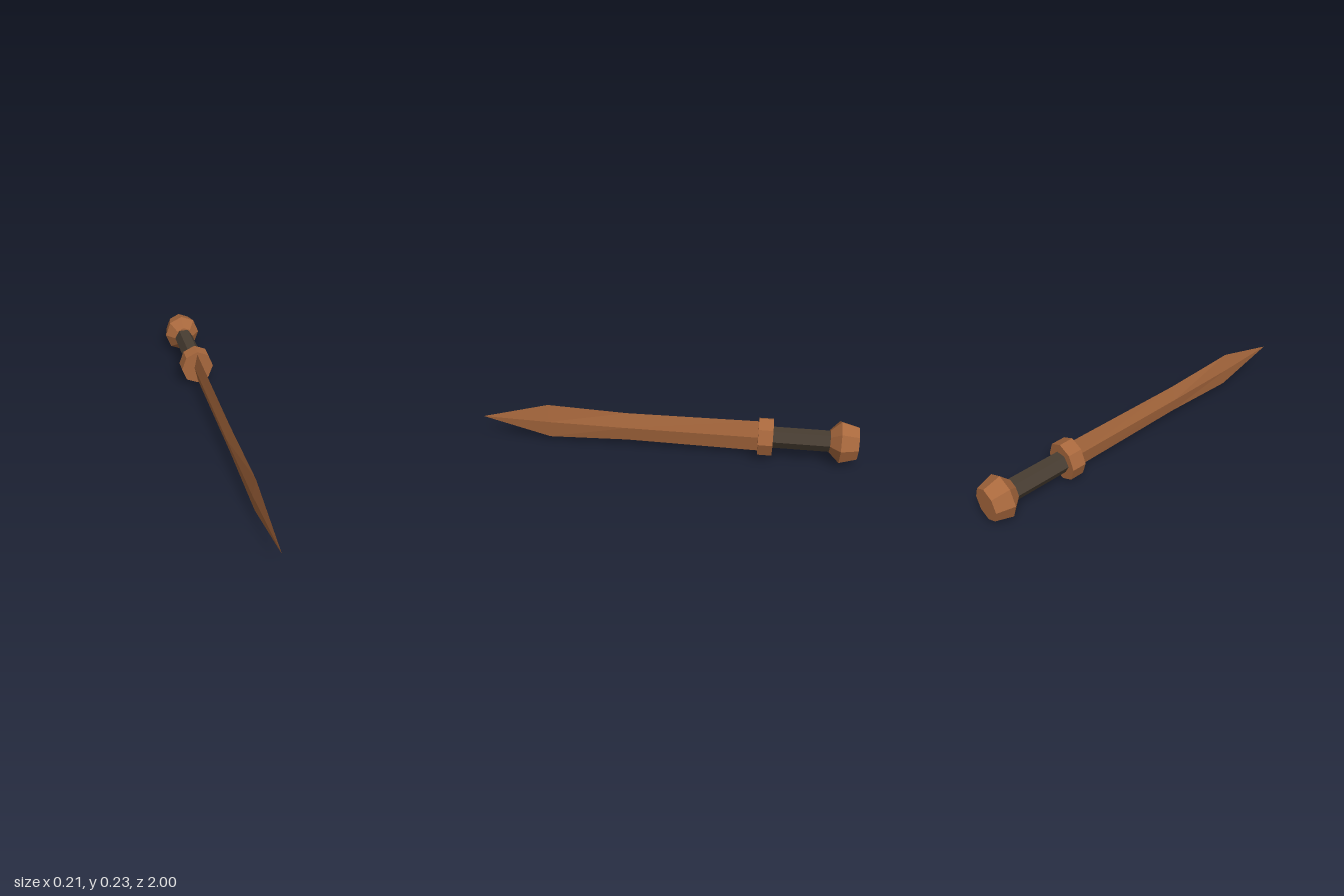
import * as THREE from 'three';

const AXIS_Y = 0.118; // height of the long axis

// Faceted solid along z from [radius, z] stations, running back to front.
function turned(stations, sides, widthScale = 1, start = 0) {
  const points = stations.map(([r, z]) => new THREE.Vector2(r, z));
  return new THREE.LatheGeometry(points, sides, start)
    .rotateX(Math.PI / 2)
    .scale(widthScale, 1, 1);
}

// Diamond-section blade from [half height, half thickness, z] stations.
function bladeGeometry(stations) {
  const geometry = turned(stations.map(([h, , z]) => [h, z]), 4);
  const pos = geometry.attributes.position;
  for (let i = 0; i < pos.count; i++) {
    const [h, t] = stations[i % stations.length];
    pos.setX(i, h > 0 ? Math.round(pos.getX(i) / h) * t : 0);
  }
  return geometry;
}

export function createModel() {
  const wood = new THREE.MeshStandardMaterial({ color: 0xa8683d, flatShading: true });
  wood.name = 'brown wood';
  const wrap = new THREE.MeshStandardMaterial({ color: 0x483d32, flatShading: true });
  wrap.name = 'dark grip wrap';

  const sword = new THREE.Group();
  sword.name = 'woodenSword';
  const add = (name, geometry, material) => {
    const mesh = new THREE.Mesh(geometry.toNonIndexed(), material);
    mesh.geometry.computeVertexNormals();
    mesh.name = name;
    mesh.position.y = AXIS_Y;
    sword.add(mesh);
  };

  // Blade, waisted in the middle and flaring before the point
  add('blade', bladeGeometry([
    [0.088, 0.018, -0.5],
    [0.081, 0.018, 0.2],
    [0.097, 0.014, 0.63],
    [0, 0, 1],
  ]), wood);

  // Eight-sided guard
  add('guard', turned([[0, -0.57], [0.104, -0.57], [0.104, -0.495], [0, -0.495]], 8, 0.89), wood);

  // Six-sided grip with corners at the sides
  add('grip', turned([[0, -0.88], [0.055, -0.88], [0.055, -0.56], [0, -0.56]], 6, 1, Math.PI / 2), wrap);

  // Eight-sided faceted pommel
  add('pommel', turned([[0, -1], [0.09, -1], [0.116, -0.91], [0.063, -0.86], [0, -0.86]], 8, 0.895), wood);

  return sword;
}
